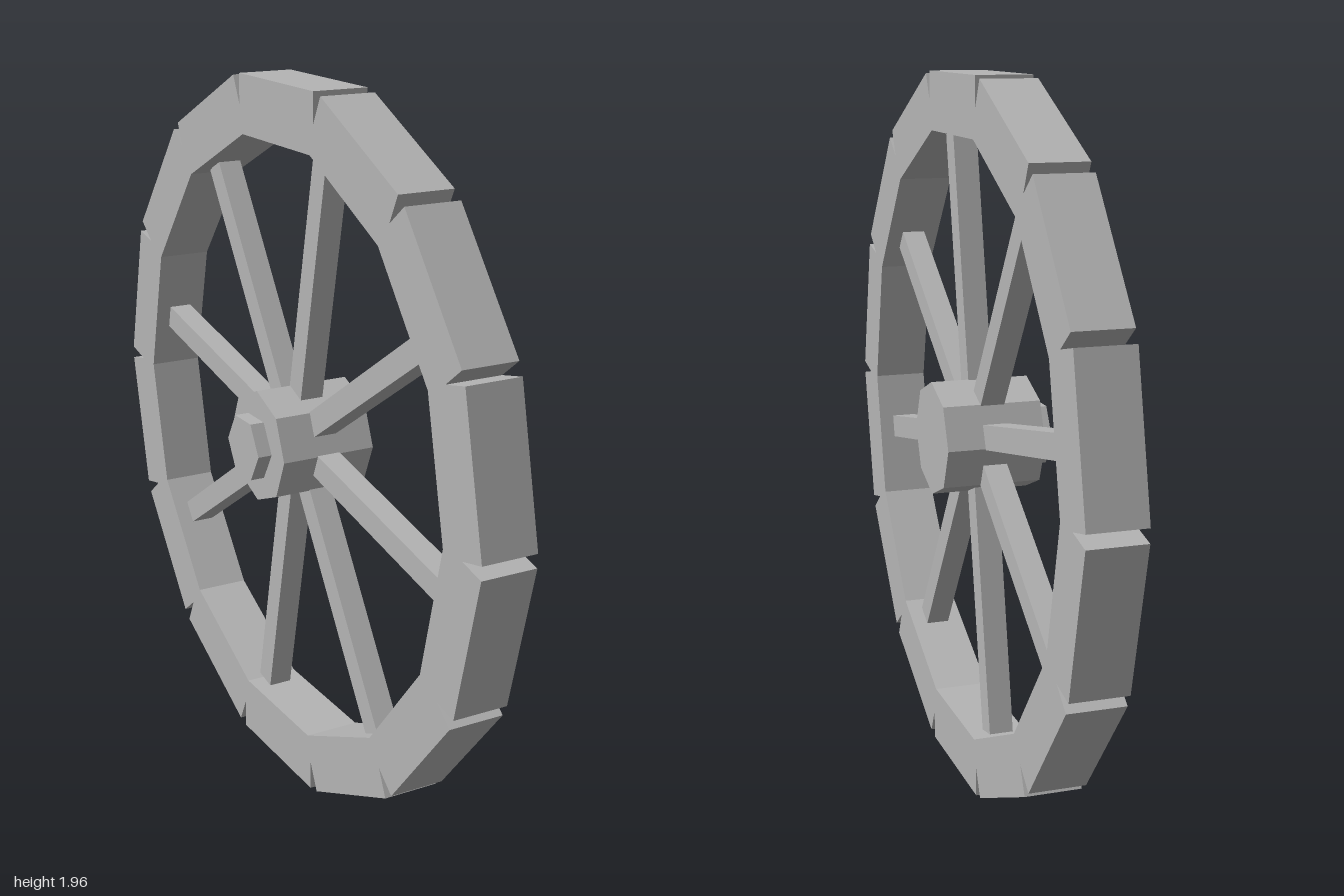
import * as THREE from 'three';

const CENTER_Y = 0.98;

// Rim outline: blocks with straight ends, leaving a V notch at each joint
function rimGeometry(sides, outer, inner, halfLength, x0, x1) {
  const step = (Math.PI * 2) / sides;
  const notch = halfLength / Math.sin(step / 2);
  const innerRadius = inner / Math.cos(step / 2);
  const outline = [];
  const hole = [];
  for (let i = 0; i < sides; i++) {
    const a = Math.PI / 2 + i * step;
    const c = Math.cos(a), s = Math.sin(a);
    for (const t of [-halfLength, halfLength]) {
      outline.push(new THREE.Vector2(outer * c - t * s, outer * s + t * c));
    }
    const m = a + step / 2;
    outline.push(new THREE.Vector2(notch * Math.cos(m), notch * Math.sin(m)));
    hole.push(new THREE.Vector2(innerRadius * Math.cos(m), innerRadius * Math.sin(m)));
  }
  const shape = new THREE.Shape(outline);
  shape.holes.push(new THREE.Path(hole));
  const geo = new THREE.ExtrudeGeometry(shape, { depth: x1 - x0, bevelEnabled: false });
  return geo.translate(0, 0, x0).rotateY(Math.PI / 2);
}

// Prism lying along x between x0 and x1
function axlePrism(radius, sides, x0, x1) {
  return new THREE.CylinderGeometry(radius, radius, x1 - x0, sides)
    .rotateZ(Math.PI / 2)
    .translate((x0 + x1) / 2, 0, 0);
}

export function createModel() {
  const grey = new THREE.MeshStandardMaterial({ color: 0xb4b4b4, flatShading: true });
  grey.name = 'grey';

  const wheel = new THREE.Group();
  wheel.name = 'wheel';
  wheel.position.y = CENTER_Y;

  const add = (name, geometry) => {
    const mesh = new THREE.Mesh(geometry, grey);
    mesh.name = name;
    wheel.add(mesh);
    return mesh;
  };

  // Rim of fourteen blocks
  add('rim', rimGeometry(14, 0.98, 0.82, 0.205, -0.061, 0.094));

  // Octagonal hub and the hexagonal nut on its left-hand end
  add('hub', axlePrism(0.158, 8, -0.119, 0.155));
  add('hubNut', axlePrism(0.0925, 6, -0.159, -0.11)).position.z = -0.007;

  // Eight square spokes
  const start = 0.1, end = 0.83;
  const spoke = new THREE.BoxGeometry(0.067, end - start, 0.067)
    .translate(0.017, (start + end) / 2, 0);
  for (let i = 0; i < 8; i++) {
    add('spoke' + (i + 1), spoke).rotation.x = Math.PI / 16 + (i * Math.PI) / 4;
  }

  const model = new THREE.Group();
  model.name = 'spokedWheel';
  model.add(wheel);
  return model;
}
